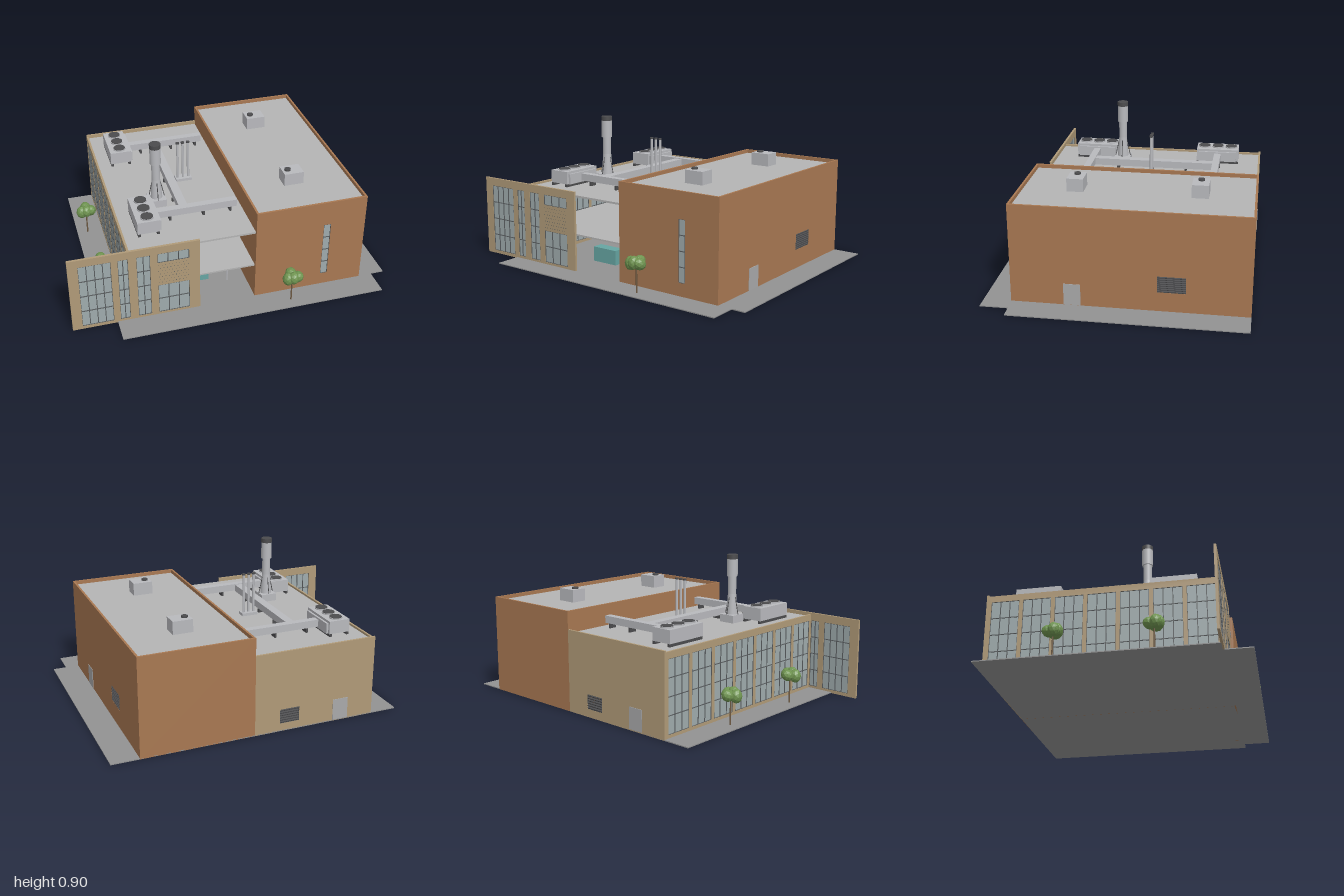
import * as THREE from 'three';

const mat = (color, flatShading = false) => new THREE.MeshStandardMaterial({ color, flatShading });
const M = {
  tan: mat(0xb09a78), brick: mat(0xa87852), roof: mat(0xb4b4b4), paving: mat(0x929292),
  metal: mat(0xb8b9bd), dark: mat(0x4c4c4e), glass: mat(0x9fabad), frame: mat(0x5a5e60),
  teal: mat(0x66a5a2), trunk: mat(0x6f5a42), leaf: mat(0x6f9450, true), door: mat(0xa9a9aa),
};

function add(parent, name, geo, material, x = 0, y = 0, z = 0) {
  const m = new THREE.Mesh(geo, material);
  m.name = name;
  m.position.set(x, y, z);
  parent.add(m);
  return m;
}
// Box given by its min and max on each axis
function box(parent, name, material, x0, x1, y0, y1, z0, z1) {
  return add(parent, name, new THREE.BoxGeometry(x1 - x0, y1 - y0, z1 - z0), material,
    (x0 + x1) / 2, (y0 + y1) / 2, (z0 + z1) / 2);
}
function cyl(parent, name, material, r0, r1, y0, y1, x, z, n = 24) {
  return add(parent, name, new THREE.CylinderGeometry(r1, r0, y1 - y0, n), material, x, (y0 + y1) / 2, z);
}
function group(parent, name, x = 0, y = 0, z = 0) {
  const g = new THREE.Group();
  g.name = name;
  g.position.set(x, y, z);
  parent.add(g);
  return g;
}

// Wall in its own XY plane, outer face at z = 0, with real openings.
// Opening: { r: [x0, x1, y0, y1], cols, rows } for a window, { r, slats } for a louver.
function wall(parent, name, material, x0, x1, h, t, openings = []) {
  const g = group(parent, name);
  const shape = new THREE.Shape([[x0, 0], [x1, 0], [x1, h], [x0, h]].map(p => new THREE.Vector2(...p)));
  for (const { r: [a, b, c, d] } of openings) {
    shape.holes.push(new THREE.Path([[a, c], [a, d], [b, d], [b, c]].map(p => new THREE.Vector2(...p))));
  }
  add(g, 'wallPanel', new THREE.ExtrudeGeometry(shape, { depth: t, bevelEnabled: false }), material, 0, 0, -t);
  for (const { r: [a, b, c, d], cols = 1, rows = 1, slats = 0 } of openings) {
    if (slats) {
      const s = (d - c) / slats;
      for (let i = 0; i < slats; i++) {
        const m = box(g, 'louverSlat', M.dark, a, b, c + s * (i + 0.3), c + s * (i + 0.7), -t, 0);
        m.rotation.x = 0.35;
      }
    } else {
      box(g, 'windowGlass', M.glass, a, b, c, d, -t * 0.65, -t * 0.35);
    }
    const w = 0.0025;
    const nx = slats ? 1 : cols, ny = slats ? 1 : rows;
    for (let i = 0; i <= nx; i++) {
      const x = a + (b - a) * i / nx;
      box(g, 'mullion', M.frame, x - w, x + w, c, d, -t * 0.9, -t * 0.1);
    }
    for (let i = 0; i <= ny; i++) {
      const y = c + (d - c) * i / ny;
      box(g, 'transom', M.frame, a, b, y - w, y + w, -t * 0.9, -t * 0.1);
    }
  }
  return g;
}

function place(g, x, z, ry) {
  g.position.set(x, 0, z);
  g.rotation.y = ry;
  return g;
}

function tree(root, x, z) {
  const g = group(root, 'tree', x, 0, z);
  cyl(g, 'treeTrunk', M.trunk, 0.005, 0.004, 0, 0.17, 0, 0, 8);
  [[-0.03, 0.18, 0.012, 0.036], [0.03, 0.184, 0.01, 0.036], [0, 0.185, -0.025, 0.036], [0, 0.19, 0.025, 0.034]]
    .forEach(([px, py, pz, r], i) => {
      const crown = add(g, 'treeCrown', new THREE.IcosahedronGeometry(r, 1), M.leaf, px, py, pz);
      crown.rotation.set(i, i * 2, 0);
      crown.scale.y = 1.2;
    });
}

// Cooling unit with three fans, side panel and the duct leaving it
function coolingUnit(root, z) {
  const g = group(root, 'coolingUnit', 0, 0, z);
  box(g, 'unitBody', M.metal, -0.555, -0.42, 0.5, 0.58, -0.14, 0.14);
  box(g, 'unitSidePanel', M.metal, -0.42, -0.407, 0.5, 0.565, -0.125, 0.125);
  for (const x of [-0.545, -0.43]) box(g, 'unitSkid', M.dark, x - 0.008, x + 0.008, 0.48, 0.5, -0.14, 0.14);
  for (const dz of [-0.09, 0, 0.09]) {
    cyl(g, 'fanRim', M.metal, 0.04, 0.04, 0.58, 0.588, -0.487, dz);
    cyl(g, 'fan', M.dark, 0.037, 0.037, 0.58, 0.591, -0.487, dz);
  }
  box(g, 'duct', M.metal, -0.407, 0.09, 0.51, 0.555, -0.022, 0.022);
  for (const x of [-0.33, -0.12, 0.05]) box(g, 'ductSupport', M.dark, x - 0.006, x + 0.006, 0.48, 0.51, -0.025, 0.025);
}

export function createModel() {
  const root = new THREE.Group();
  root.name = 'industrialBuilding';

  // Ground paving
  box(root, 'paving', M.paving, -0.82, 1, 0, 0.006, -0.785, 0.61);
  box(root, 'frontPaving', M.paving, -0.73, 0.915, 0, 0.006, 0.61, 0.78);

  // Tall brick block
  const brick = group(root, 'brickBlock');
  const T = 0.013, H = 0.615;
  place(wall(brick, 'brickFrontWall', M.brick, 0.13, 0.83, H, T, [{ r: [0.56, 0.605, 0.085, 0.455], rows: 4 }]), 0, 0.615, 0);
  place(wall(brick, 'brickBackWall', M.brick, -0.83, -0.13, H, T), 0, -0.785, Math.PI);
  place(wall(brick, 'brickRightWall', M.brick, -0.614, 0.784, H, T, [{ r: [0.245, 0.41, 0.125, 0.225], slats: 8 }]), 0.83, 0, Math.PI / 2);
  place(wall(brick, 'brickInnerWall', M.brick, -0.784, 0.614, H, T), 0.13, 0, -Math.PI / 2);
  box(brick, 'brickRoof', M.roof, 0.14, 0.82, 0.58, 0.592, -0.775, 0.605);
  box(brick, 'sideDoor', M.door, 0.825, 0.833, 0.008, 0.14, 0.2, 0.3);
  for (const z of [-0.455, 0.285]) {
    box(brick, 'roofUnit', M.metal, 0.4, 0.525, 0.59, 0.672, z - 0.05, z + 0.05);
    cyl(brick, 'roofUnitFan', M.dark, 0.02, 0.02, 0.67, 0.682, 0.435, z);
  }

  // Lower hall: back wall, glazed left wall, roof and upper floor
  const hall = group(root, 'hall');
  place(wall(hall, 'hallBackWall', M.tan, -0.13, 0.65, 0.505, T, [{ r: [0.03, 0.155, 0.05, 0.14], slats: 6 }]), 0, -0.785, Math.PI);
  box(hall, 'backDoor', M.door, -0.48, -0.38, 0.008, 0.14, -0.788, -0.78);
  const bays = [], pitch = 1.36 / 7;
  for (let i = 0; i < 7; i++) {
    const z = -0.765 + i * pitch;
    bays.push({ r: [z + 0.012, z + pitch - 0.012, 0.025, 0.455], cols: 3, rows: 4 });
  }
  place(wall(hall, 'glazedLeftWall', M.tan, -0.784, 0.6, 0.495, T, bays), -0.65, 0, -Math.PI / 2);
  box(hall, 'hallRoof', M.roof, -0.64, 0.129, 0.47, 0.482, -0.773, 0.603);
  box(hall, 'upperFloor', M.roof, -0.637, 0.129, 0.228, 0.238, -0.773, 0.6);

  // Front screen wall reaching past the hall
  const screen = place(wall(root, 'frontScreen', M.tan, -1, -0.22, 0.505, 0.015, [
    { r: [-0.94, -0.75, 0.02, 0.455], cols: 4, rows: 4 },
    { r: [-0.71, -0.65, 0.02, 0.455], cols: 2, rows: 4 },
    { r: [-0.6, -0.52, 0.02, 0.455], cols: 2, rows: 4 },
    { r: [-0.475, -0.285, 0.39, 0.455], cols: 3, rows: 1 },
    { r: [-0.475, -0.285, 0.02, 0.225], cols: 3, rows: 2 },
  ]), 0, 0.62, 0);
  for (let r = 0; r < 7; r++) {
    for (let c = 0; c < 9; c++) {
      const x = -0.47 + c * 0.021 + (r % 2) * 0.01, y = 0.245 + r * 0.021;
      box(screen, 'perforation', M.frame, x - 0.002, x + 0.002, y - 0.002, y + 0.002, -0.001, 0.0008);
    }
  }

  // Open entrance bay
  const entry = group(root, 'entrance');
  box(entry, 'canopy', M.metal, -0.26, 0.07, 0.176, 0.19, 0.1, 0.45);
  for (const z of [0.15, 0.42]) cyl(entry, 'canopyColumn', M.metal, 0.006, 0.006, 0.006, 0.178, 0.01, z, 12);
  box(entry, 'receptionDesk', M.teal, -0.28, -0.1, 0.006, 0.1, 0.31, 0.38);
  box(entry, 'upperFloorCabinet', M.dark, -0.26, -0.12, 0.238, 0.31, -0.1, 0);

  // Cooling units and linking duct
  coolingUnit(root, -0.498);
  coolingUnit(root, 0.325);
  box(root, 'linkDuct', M.metal, -0.265, -0.212, 0.505, 0.55, -0.476, 0.303);
  for (const z of [-0.3, -0.08, 0.15]) box(root, 'linkDuctSupport', M.dark, -0.27, -0.207, 0.48, 0.505, z - 0.006, z + 0.006);

  // Main chimney with four braces
  const stack = group(root, 'chimney', -0.365, 0, 0.14);
  box(stack, 'chimneyBase', M.metal, -0.053, 0.053, 0.48, 0.53, -0.053, 0.053);
  cyl(stack, 'chimneyTaper', M.metal, 0.036, 0.026, 0.53, 0.66, 0, 0);
  cyl(stack, 'chimneyPipe', M.metal, 0.026, 0.026, 0.66, 0.77, 0, 0);
  cyl(stack, 'chimneyHead', M.metal, 0.034, 0.034, 0.77, 0.878, 0, 0);
  cyl(stack, 'chimneyCap', M.dark, 0.035, 0.035, 0.878, 0.905, 0, 0);
  for (let i = 0; i < 4; i++) {
    const a = i * Math.PI / 2;
    const path = new THREE.LineCurve3(new THREE.Vector3(0.05 * Math.cos(a), 0.53, 0.05 * Math.sin(a)),
      new THREE.Vector3(0.026 * Math.cos(a), 0.64, 0.026 * Math.sin(a)));
    add(stack, 'chimneyBrace', new THREE.TubeGeometry(path, 1, 0.0025, 6), M.dark);
  }

  // Three slim flues
  const flues = group(root, 'flues', -0.137, 0, -0.085);
  box(flues, 'flueBase', M.metal, -0.052, 0.052, 0.48, 0.5, -0.027, 0.027);
  for (const x of [-0.034, 0, 0.034]) {
    cyl(flues, 'fluePipe', M.metal, 0.008, 0.008, 0.5, 0.75, x, 0, 16);
    cyl(flues, 'flueCap', M.dark, 0.011, 0.011, 0.748, 0.757, x, 0, 16);
  }

  // Trees
  tree(root, -0.75, -0.34);
  tree(root, -0.75, 0.24);
  tree(root, 0.335, 0.71);
  return root;
}
